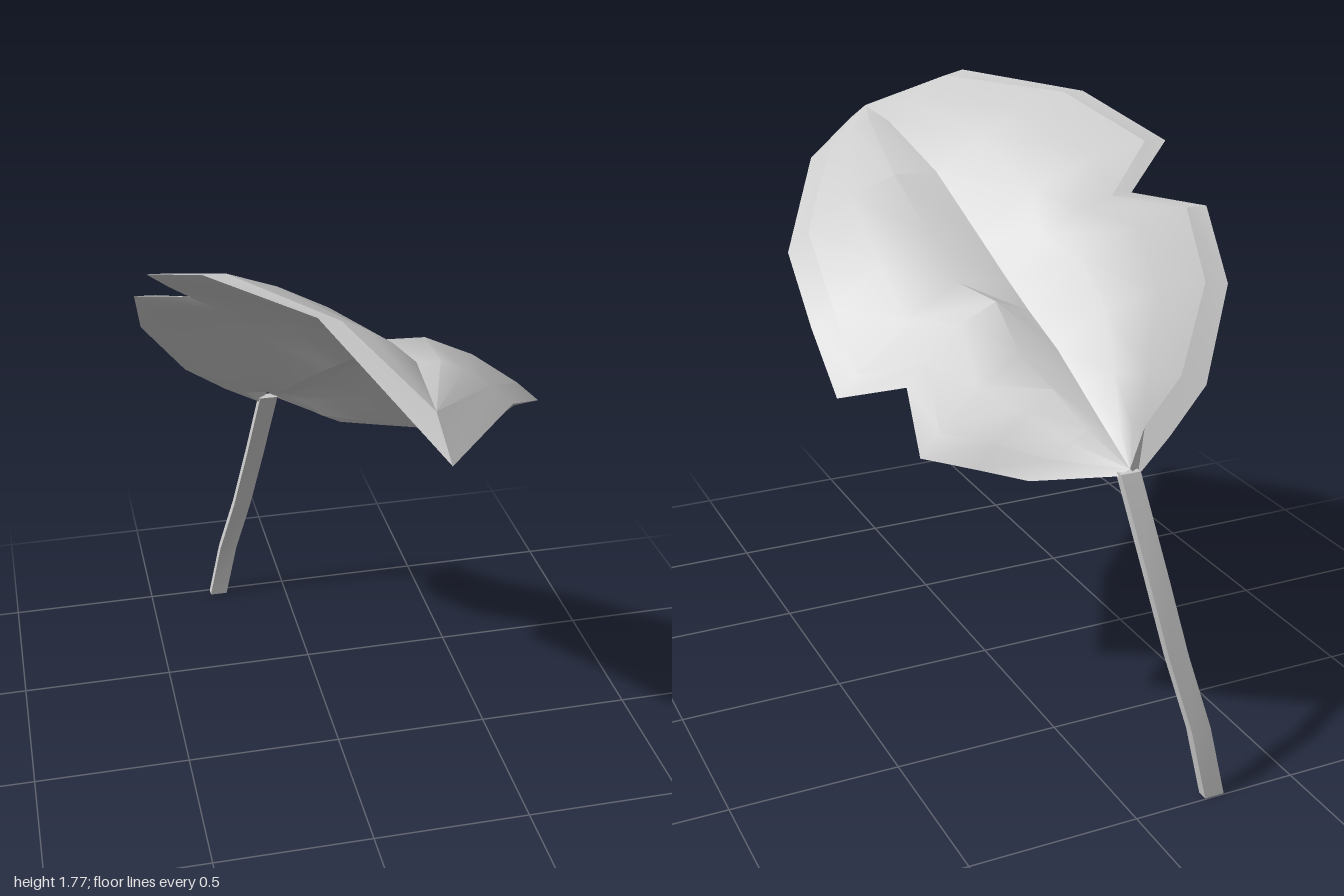
import * as THREE from 'three';
import { toCreasedNormals } from 'three/addons/utils/BufferGeometryUtils.js';

const V = (p) => new THREE.Vector3(...p);

// Cross-sections from stalk to tip: [right-hand edge, midrib, left-hand edge]
const ROWS = [
  [[-0.11, 0.90, -0.75], [-0.08, 0.93, -0.76], [-0.05, 0.91, -0.75]],
  [[-0.23, 0.98, -0.71], [-0.07, 1.00, -0.64], [0.14, 0.87, -0.60]],
  [[-0.37, 1.09, -0.66], [-0.055, 1.08, -0.52], [0.26, 0.89, -0.51]],
  [[-0.52, 1.32, -0.51], [-0.04, 1.16, -0.40], [0.385, 0.91, -0.42]],
  [[-0.55, 1.50, -0.33], [-0.01, 1.24, -0.28], [0.37, 1.07, -0.29]],
  [[-0.37, 1.53, -0.21], [0.01, 1.31, -0.17], [0.54, 1.03, -0.19]],
  [[-0.53, 1.65, -0.12], [0.03, 1.40, -0.02], [0.545, 1.18, 0.00]],
  [[-0.41, 1.755, 0.18], [0.06, 1.54, 0.22], [0.52, 1.33, 0.27]],
  [[-0.18, 1.775, 0.57], [0.075, 1.63, 0.57], [0.315, 1.52, 0.64]],
  [[0.05, 1.56, 1.00], [0.05, 1.63, 0.85], [0.05, 1.56, 1.00]],
];
const LAST = ROWS.length - 1;

// Smooth sheet through rows of points; flip turns it to face down
function sheet(rows, flip) {
  const cols = rows[0].length, index = [];
  for (let i = 0; i < rows.length - 1; i++) {
    for (let j = 0; j < cols - 1; j++) {
      const a = i * cols + j, b = a + cols, c = b + 1, d = a + 1;
      index.push(...(flip ? [a, c, b, a, d, c] : [a, b, c, a, c, d]));
    }
  }
  const g = new THREE.BufferGeometry().setFromPoints(rows.flat());
  g.setIndex(index);
  return toCreasedNormals(g, 0.5);
}

// Point between two others, lifted by a given height
const between = (a, b, t, lift) => {
  const p = a.clone().lerp(b, t);
  p.y += lift;
  return p;
};

// One half of a section, from the midrib out to the inner line of the rim
function half(mid, edge, rim, bulge, rimLift) {
  const t = Math.max(0, 1 - rim / Math.max(rim, mid.distanceTo(edge)));
  const inner = between(mid, edge, t, rimLift);
  return [between(mid, inner, 0.33, bulge), between(mid, inner, 0.67, bulge * 0.85), inner];
}

export function createModel() {
  const group = new THREE.Group();
  const material = new THREE.MeshStandardMaterial({ color: 0xcccccc, side: THREE.DoubleSide });
  const add = (name, geometry) => {
    const mesh = new THREE.Mesh(geometry, material);
    mesh.name = name;
    group.add(mesh);
  };

  const top = [], rightRim = [], leftRim = [], under = [];
  ROWS.forEach((row, i) => {
    const [r, m, l] = row.map(V);
    const k = Math.sin((Math.PI * i) / LAST); // fades the bulge at both ends
    const lift = 0.03 * Math.min(1, 2 * k);
    const rim = i === LAST ? 0.2 : 0.07;
    const a = half(m, r, rim, 0.05 * k, lift), b = half(m, l, rim, 0.08 * k, lift);
    top.push([...a.slice().reverse(), m, ...b]);
    rightRim.push([r, a[2]]);
    leftRim.push([b[2], l]);
    // Underside runs just below the top and closes at the edge
    const low = i === LAST ? r : between(m, m, 0, -lift);
    const c = half(low, r, rim, 0.05 * k, -lift * 0.3), d = half(low, l, rim, 0.08 * k, -lift * 0.3);
    under.push([r, ...c.reverse(), low, ...d, l]);
  });
  add('bladeTop', sheet(top, false));
  add('rightRim', sheet(rightRim, false));
  add('leftRim', sheet(leftRim, false));
  add('bladeUnderside', sheet(under, true));

  // Stalk: flat four-sided strip bent along its centre line
  const path = [
    [-0.25, 0, -0.981], [-0.21, 0.21, -0.958], [-0.16, 0.42, -0.908],
    [-0.115, 0.65, -0.857], [-0.08, 0.92, -0.75],
  ];
  const stalk = new THREE.CylinderGeometry(Math.SQRT2, Math.SQRT2, 1, 4, path.length - 1, false, Math.PI / 4);
  const pos = stalk.attributes.position;
  for (let i = 0; i < pos.count; i++) {
    const c = path[Math.round((pos.getY(i) + 0.5) * (path.length - 1))];
    pos.setXYZ(i, c[0] + pos.getX(i) * 0.03, c[1], c[2] + pos.getZ(i) * 0.016);
  }
  add('stalk', toCreasedNormals(stalk, 0.6));
  return group;
}
